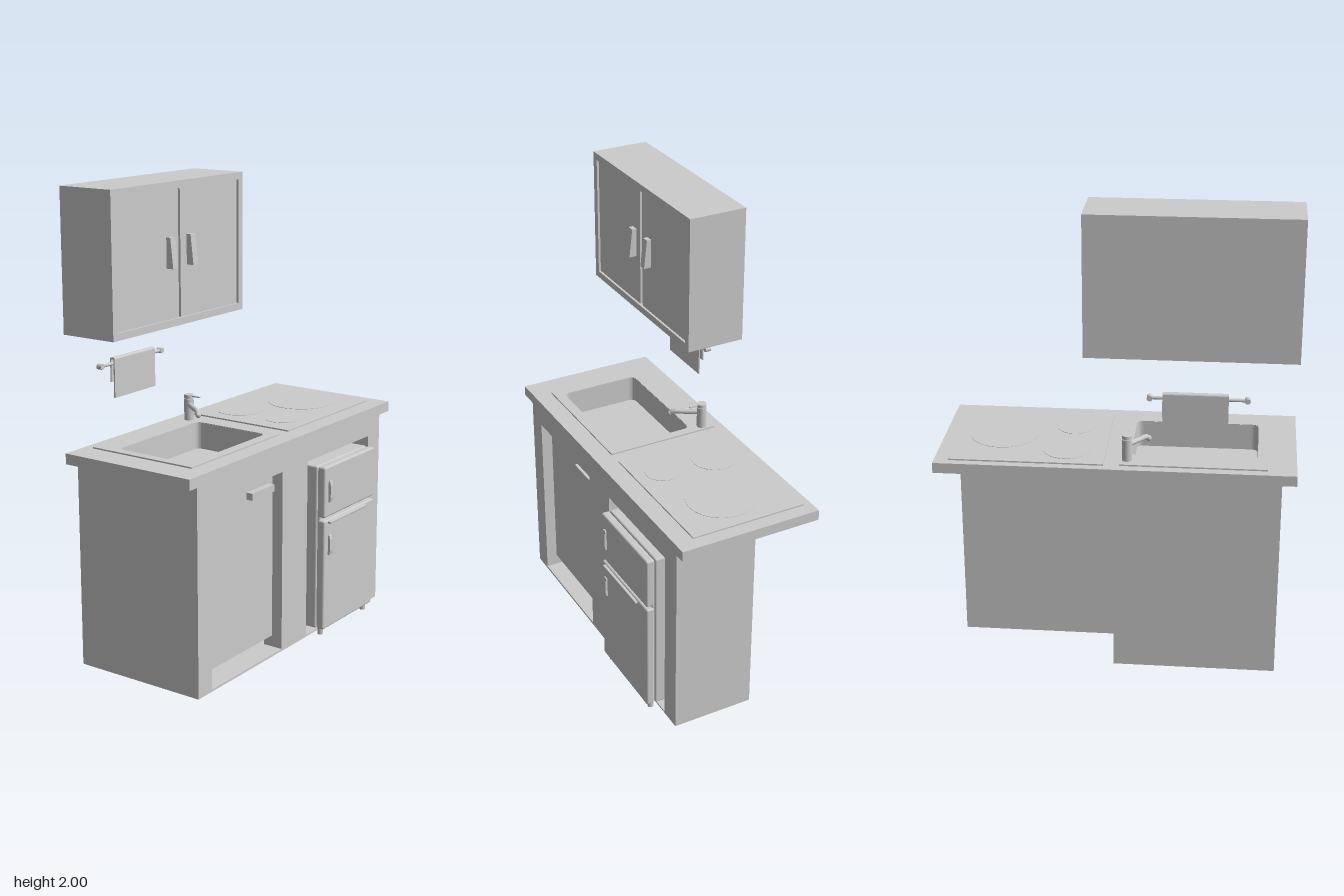
import * as THREE from 'three';
import { RoundedBoxGeometry } from 'three/addons/geometries/RoundedBoxGeometry.js';

const grey = new THREE.MeshStandardMaterial({ color: 0xcccccc, side: THREE.DoubleSide });

function add(parent, name, geometry) {
  const mesh = new THREE.Mesh(geometry, grey);
  mesh.name = name;
  parent.add(mesh);
  return mesh;
}

function group(parent, name) {
  const g = new THREE.Group();
  g.name = name;
  parent.add(g);
  return g;
}

// Box given by its extents, optionally with rounded edges
function box(parent, name, x0, x1, y0, y1, z0, z1, r = 0) {
  const s = [x1 - x0, y1 - y0, z1 - z0];
  const geo = r ? new RoundedBoxGeometry(...s, 3, r) : new THREE.BoxGeometry(...s);
  return add(parent, name, geo.translate((x0 + x1) / 2, (y0 + y1) / 2, (z0 + z1) / 2));
}

function cylinder(parent, name, x, y0, y1, z, r, sides = 24) {
  return add(parent, name, new THREE.CylinderGeometry(r, r, y1 - y0, sides).translate(x, (y0 + y1) / 2, z));
}

// Rectangle with optional rounded corners
function rect(a0, a1, b0, b1, r = 0, Type = THREE.Shape) {
  const s = new Type();
  if (!r) return s.moveTo(a0, b0).lineTo(a1, b0).lineTo(a1, b1).lineTo(a0, b1).closePath();
  s.moveTo(a0 + r, b0).lineTo(a1 - r, b0).quadraticCurveTo(a1, b0, a1, b0 + r);
  s.lineTo(a1, b1 - r).quadraticCurveTo(a1, b1, a1 - r, b1);
  s.lineTo(a0 + r, b1).quadraticCurveTo(a0, b1, a0, b1 - r);
  return s.lineTo(a0, b0 + r).quadraticCurveTo(a0, b0, a0 + r, b0);
}

const extrude = (shape, depth) => new THREE.ExtrudeGeometry(shape, { depth, bevelEnabled: false, curveSegments: 8 });

// Horizontal plate: shape in (x, -z), raised from y0 to y1
function plate(parent, name, shape, y0, y1) {
  return add(parent, name, extrude(shape, y1 - y0).rotateX(-Math.PI / 2).translate(0, y0, 0));
}

// Upright panel facing +x: shape in (-z, y), from x0 to x1
function upright(parent, name, shape, x0, x1) {
  return add(parent, name, extrude(shape, x1 - x0).rotateY(Math.PI / 2).translate(x0, 0, 0));
}

// Front frame of a floor cabinet, open at the bottom
function portal(z0, z1, open0, open1) {
  const s = new THREE.Shape();
  [[-z1, 0], [-open1, 0], [-open1, 0.8], [-open0, 0.8], [-open0, 0], [-z0, 0], [-z0, 0.885], [-z1, 0.885]]
    .forEach(([u, y], i) => (i ? s.lineTo(u, y) : s.moveTo(u, y)));
  return s.closePath();
}

function createModel() {
  const model = new THREE.Group();
  model.name = 'kitchenette';

  // Sink cabinet with a set-back door
  const sinkCab = group(model, 'sinkCabinet');
  upright(sinkCab, 'frontFrame', portal(0, 0.69, 0.1, 0.6), 0.18, 0.27);
  box(sinkCab, 'leftSide', -0.335, 0.18, 0, 0.885, 0.67, 0.69);
  box(sinkCab, 'rightSide', -0.335, 0.18, 0, 0.885, 0, 0.02);
  box(sinkCab, 'back', -0.335, -0.315, 0, 0.885, 0.02, 0.67);
  box(sinkCab, 'floor', -0.315, 0.27, 0, 0.01, 0.02, 0.67);
  box(sinkCab, 'door', 0.19, 0.22, 0.06, 0.8, 0.1, 0.6);
  box(sinkCab, 'doorHandle', 0.22, 0.25, 0.72, 0.75, 0.13, 0.29);

  // Shallower cabinet with a niche for the fridge
  const niche = group(model, 'fridgeCabinet');
  upright(niche, 'surround', portal(-0.685, 0, -0.59, -0.09), -0.09, 0.27);
  box(niche, 'back', -0.09, -0.07, 0, 0.8, -0.59, -0.09);
  box(niche, 'floor', -0.07, 0.27, 0.001, 0.008, -0.59, -0.09);

  // Fridge
  const fridge = group(model, 'fridge');
  box(fridge, 'body', 0, 0.29, 0.03, 0.77, -0.545, -0.135, 0.008);
  box(fridge, 'lowerDoor', 0.294, 0.33, 0.03, 0.53, -0.545, -0.135, 0.009);
  box(fridge, 'upperDoor', 0.294, 0.33, 0.543, 0.77, -0.545, -0.135, 0.009);
  box(fridge, 'doorSeal', 0.28, 0.3, 0.04, 0.76, -0.537, -0.143);
  box(fridge, 'doorLedge', 0.325, 0.342, 0.513, 0.524, -0.465, -0.165, 0.003);
  for (const [y0, y1] of [[0.37, 0.46], [0.61, 0.705]]) {
    const grip = new THREE.Shape();
    grip.moveTo(0.325, y0).lineTo(0.336, y0).lineTo(0.341, y0 + 0.02);
    grip.lineTo(0.341, y1 - 0.02).lineTo(0.336, y1).lineTo(0.325, y1).closePath();
    add(fridge, 'fridgeHandle', extrude(grip, 0.02).translate(0, 0, -0.185));
  }
  for (const x of [0.03, 0.3])
    for (const z of [-0.518, -0.16]) cylinder(fridge, 'foot', x, 0, 0.035, z, 0.013, 16);

  // Worktop with the sink cut-out
  const top = rect(-0.345, 0.28, -0.75, 0.75);
  top.holes.push(rect(-0.2, 0.155, -0.59, -0.06, 0.03, THREE.Path));
  plate(model, 'worktop', top, 0.885, 0.93);

  // Sink
  const sink = group(model, 'sink');
  const rim = rect(-0.305, 0.2, -0.63, -0.02);
  rim.holes.push(rect(-0.2, 0.155, -0.59, -0.06, 0.03, THREE.Path));
  plate(sink, 'sinkRim', rim, 0.93, 0.936);
  const basin = rect(-0.205, 0.16, -0.595, -0.055, 0.03);
  basin.holes.push(rect(-0.199, 0.154, -0.589, -0.061, 0.03, THREE.Path));
  plate(sink, 'basinWalls', basin, 0.815, 0.934);
  plate(sink, 'basinFloor', rect(-0.203, 0.158, -0.593, -0.057, 0.03), 0.812, 0.818);

  // Mixer tap swung out over the basin
  const tap = group(model, 'tap');
  cylinder(tap, 'tapPost', -0.255, 0.93, 1.03, 0.05, 0.021);
  cylinder(tap, 'tapCap', -0.255, 1.033, 1.048, 0.05, 0.021);
  cylinder(tap, 'tapCore', -0.255, 1.03, 1.033, 0.05, 0.017);
  box(tap, 'tapLever', -0.25, -0.195, 1.04, 1.045, 0.045, 0.055);
  const spout = new THREE.CatmullRomCurve3([
    [-0.25, 1.005, 0.055], [-0.2, 1.002, 0.09], [-0.155, 0.999, 0.122], [-0.143, 0.986, 0.132],
  ].map((p) => new THREE.Vector3(...p)));
  add(tap, 'spout', new THREE.TubeGeometry(spout, 20, 0.011, 12));
  const tip = add(tap, 'spoutEnd', new THREE.SphereGeometry(0.012, 14, 10));
  tip.position.set(-0.143, 0.988, 0.132);

  // Hob with three cooking zones
  const hob = group(model, 'hob');
  box(hob, 'hobPlate', -0.31, 0.2, 0.93, 0.936, -0.69, -0.045);
  for (const [x, z, r] of [[-0.035, -0.495, 0.145], [-0.17, -0.21, 0.1], [0.07, -0.2, 0.08]])
    cylinder(hob, 'cookingZone', x, 0.935, 0.9375, z, r, 48);

  // Wall cabinet: framed carcass, two inset doors, tilted handles
  const wall = group(model, 'wallCabinet');
  box(wall, 'carcass', -0.345, -0.11, 1.415, 2, -0.12, 0.74);
  const frame = rect(-0.74, 0.12, 1.415, 2);
  frame.holes.push(rect(-0.71, 0.09, 1.445, 1.97, 0, THREE.Path));
  upright(wall, 'frame', frame, -0.11, -0.09);
  box(wall, 'rightDoor', -0.11, -0.1, 1.445, 1.97, -0.09, 0.3);
  box(wall, 'leftDoor', -0.11, -0.1, 1.445, 1.97, 0.325, 0.71);
  for (const z of [0.225, 0.358]) {
    const pull = new THREE.Shape();
    pull.moveTo(-0.1, 1.655).lineTo(-0.066, 1.655).lineTo(-0.08, 1.78).lineTo(-0.1, 1.78).closePath();
    add(wall, 'doorPull', extrude(pull, 0.033).translate(0, 0, z));
  }

  // Towel rail with a folded towel
  const towelRail = group(model, 'towelRail');
  add(towelRail, 'rail', new THREE.CylinderGeometry(0.007, 0.007, 0.4, 12).rotateX(Math.PI / 2).translate(-0.332, 1.25, 0.3425));
  for (const z of [0.147, 0.538])
    add(towelRail, 'railEnd', new THREE.CylinderGeometry(0.012, 0.012, 0.024, 16).rotateZ(Math.PI / 2).translate(-0.333, 1.25, z));
  const towel = new THREE.Shape();
  towel.moveTo(-0.345, 1.17).lineTo(-0.345, 1.266).quadraticCurveTo(-0.345, 1.275, -0.333, 1.275);
  towel.quadraticCurveTo(-0.321, 1.275, -0.321, 1.266).lineTo(-0.321, 1.105).lineTo(-0.327, 1.105);
  towel.lineTo(-0.327, 1.266).lineTo(-0.339, 1.266).lineTo(-0.339, 1.17).closePath();
  add(towelRail, 'towel', extrude(towel, 0.265).translate(0, 0, 0.198));

  return model;
}

export { createModel };
